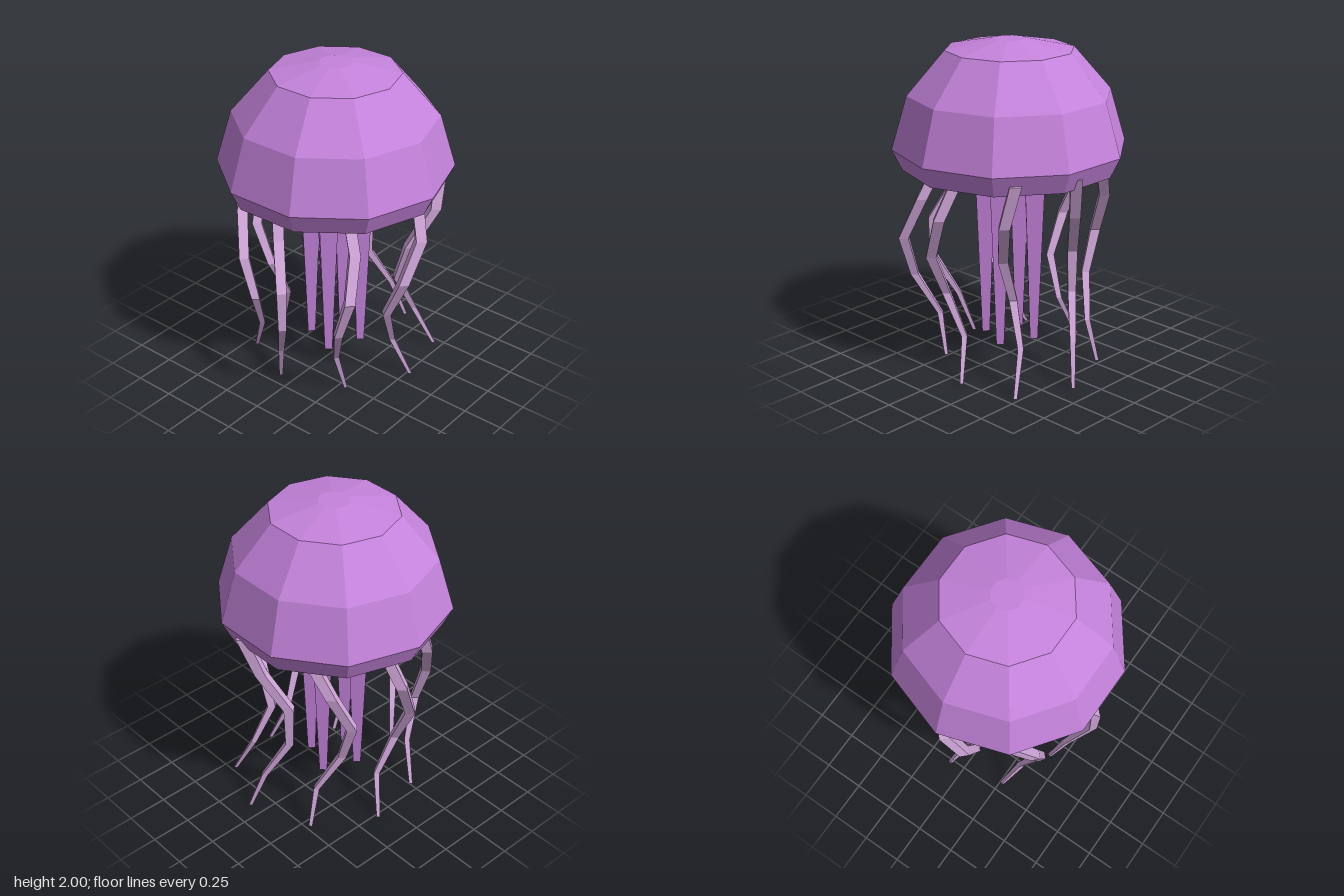
import * as THREE from 'three';

// Faceted normals for the low-poly look
function faceted(geometry) {
  const g = geometry.toNonIndexed();
  g.computeVertexNormals();
  return g;
}

export function createModel() {
  const model = new THREE.Group();
  model.name = 'jellyfish';
  const purple = new THREE.MeshStandardMaterial({ color: 0xc583dc });
  purple.name = 'purple';
  const lilac = new THREE.MeshStandardMaterial({ color: 0xd3a8dd });
  lilac.name = 'lilac';

  function add(name, geometry, material) {
    const mesh = new THREE.Mesh(faceted(geometry), material);
    mesh.name = name;
    model.add(mesh);
    return mesh;
  }

  // Bell: ten-sided dome with a tucked rim and a shallow hollow underneath
  const profile = [
    [0, 1.32], [0.36, 1.32], [0.645, 1.235], [0.705, 1.36],
    [0.61, 1.68], [0.385, 1.94], [0.095, 2], [0, 2],
  ].map(([r, y]) => new THREE.Vector2(r, y));
  add('bell', new THREE.LatheGeometry(profile, 10, Math.PI / 2), purple);

  // Four straight tapered arms under the middle of the bell
  const armTop = 1.325, armBottom = 0.135;
  for (let i = 0; i < 4; i++) {
    const a = THREE.MathUtils.degToRad(22.5 + i * 90);
    const arm = add('oralArm', new THREE.CylinderGeometry(0.092, 0.033, armTop - armBottom, 4), purple);
    arm.position.set(0.16 * Math.sin(a), (armTop + armBottom) / 2, 0.16 * Math.cos(a));
  }

  // Eight wavy tentacles: square columns of five tapering segments
  const radii = [0.048, 0.045, 0.042, 0.034, 0.024, 0.015];
  const segments = radii.length - 1;
  const top = 1.3, bottom = 0.005, ring = 0.517, sway = 0.1;
  for (let i = 0; i < 8; i++) {
    const angle = (i * Math.PI) / 4;
    const g = new THREE.CylinderGeometry(1, 1, 1, 4, segments);
    const p = g.attributes.position;
    for (let v = 0; v < p.count; v++) {
      const k = Math.round((0.5 - p.getY(v)) * segments);
      const phase = (k * 2 * Math.PI) / segments;
      p.setXYZ(
        v,
        ring * Math.cos(angle) + sway * Math.sin(phase + angle) + p.getX(v) * radii[k],
        top + ((bottom - top) * k) / segments,
        -ring * Math.sin(angle) - sway * Math.cos(phase) + p.getZ(v) * radii[k],
      );
    }
    add('tentacle', g, lilac);
  }
  return model;
}
